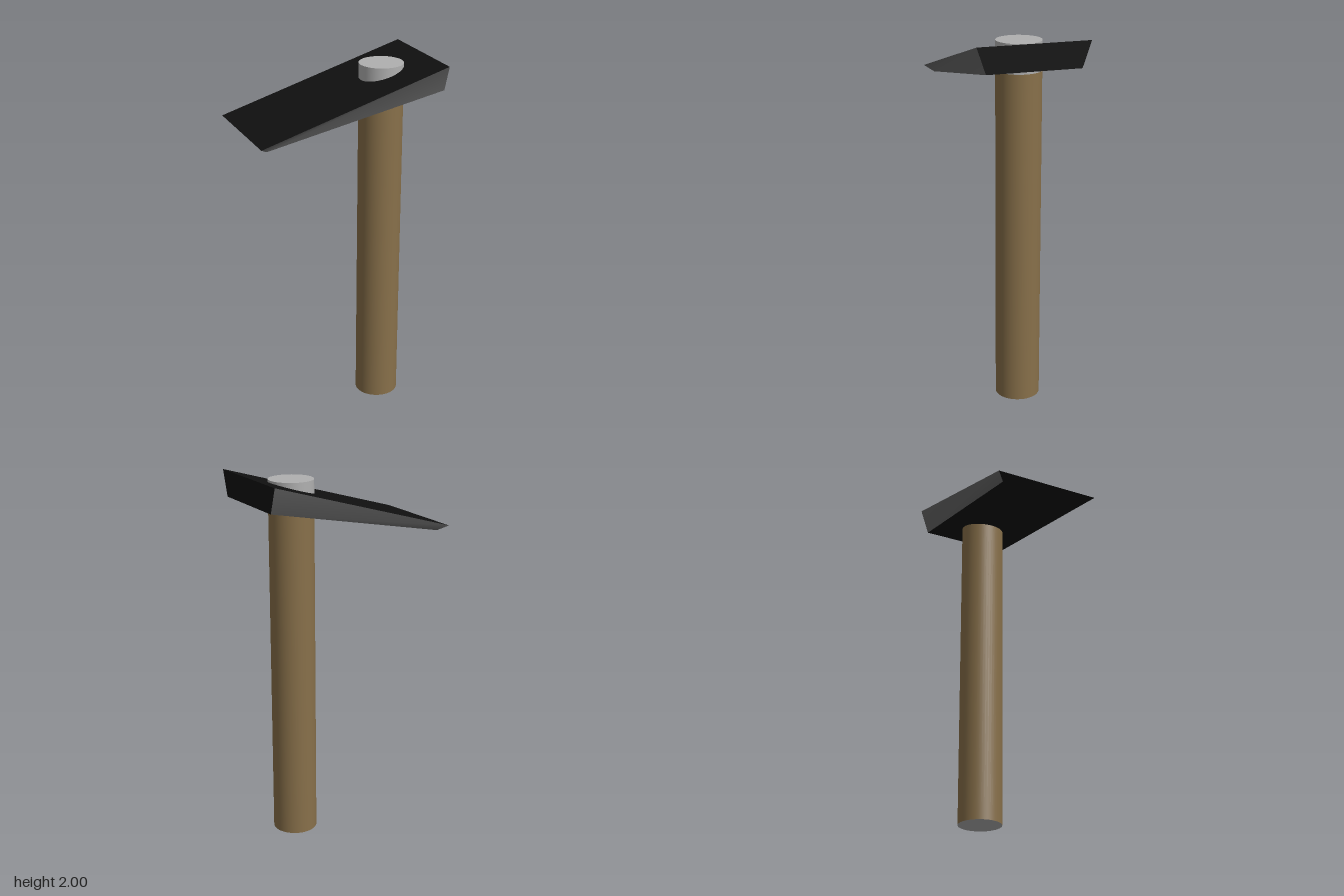
import * as THREE from 'three';

const mat = (name, color) => {
  const m = new THREE.MeshStandardMaterial({ color });
  m.name = name;
  return m;
};

export function createModel() {
  const wood = mat('wood brown', 0x88704a);
  const steel = mat('light grey', 0xb0b0b0);
  const black = mat('black', 0x101010);
  const edge = mat('dark grey', 0x686868);

  const model = new THREE.Group();
  model.name = 'mallet';

  // Upright round shaft: grey end caps, brown below and grey tip above
  const radius = 0.12, shaftX = 0.272, joint = 1.82, tipTop = 1.975;
  const addShaft = (name, y0, y1, materials) => {
    const geo = new THREE.CylinderGeometry(radius, radius, y1 - y0, 48);
    const mesh = new THREE.Mesh(geo, materials);
    mesh.name = name;
    mesh.position.set(shaftX, (y0 + y1) / 2, 0);
    model.add(mesh);
  };
  addShaft('handle', 0, joint, [wood, steel, steel]);
  addShaft('handleTip', joint, tipTop, [steel, steel, steel]);

  // Sloping wedge head: a box whose corners are moved, narrower underneath
  const geo = new THREE.BoxGeometry(2, 2, 2);
  const p = geo.attributes.position;
  for (let i = 0; i < p.count; i++) {
    const right = p.getX(i) > 0, top = p.getY(i) > 0;
    const x = right ? 0.517 : top ? -0.52 : -0.475;
    const y = top ? (right ? 2 : 1.697) : (right ? 1.862 : 1.667);
    p.setXYZ(i, x, y, Math.sign(p.getZ(i)) * (top ? 0.297 : 0.25));
  }
  geo.computeVertexNormals();
  // Face order: +x, -x, top, bottom, front, back
  const head = new THREE.Mesh(geo, [black, black, black, black, edge, edge]);
  head.name = 'head';
  model.add(head);

  return model;
}
